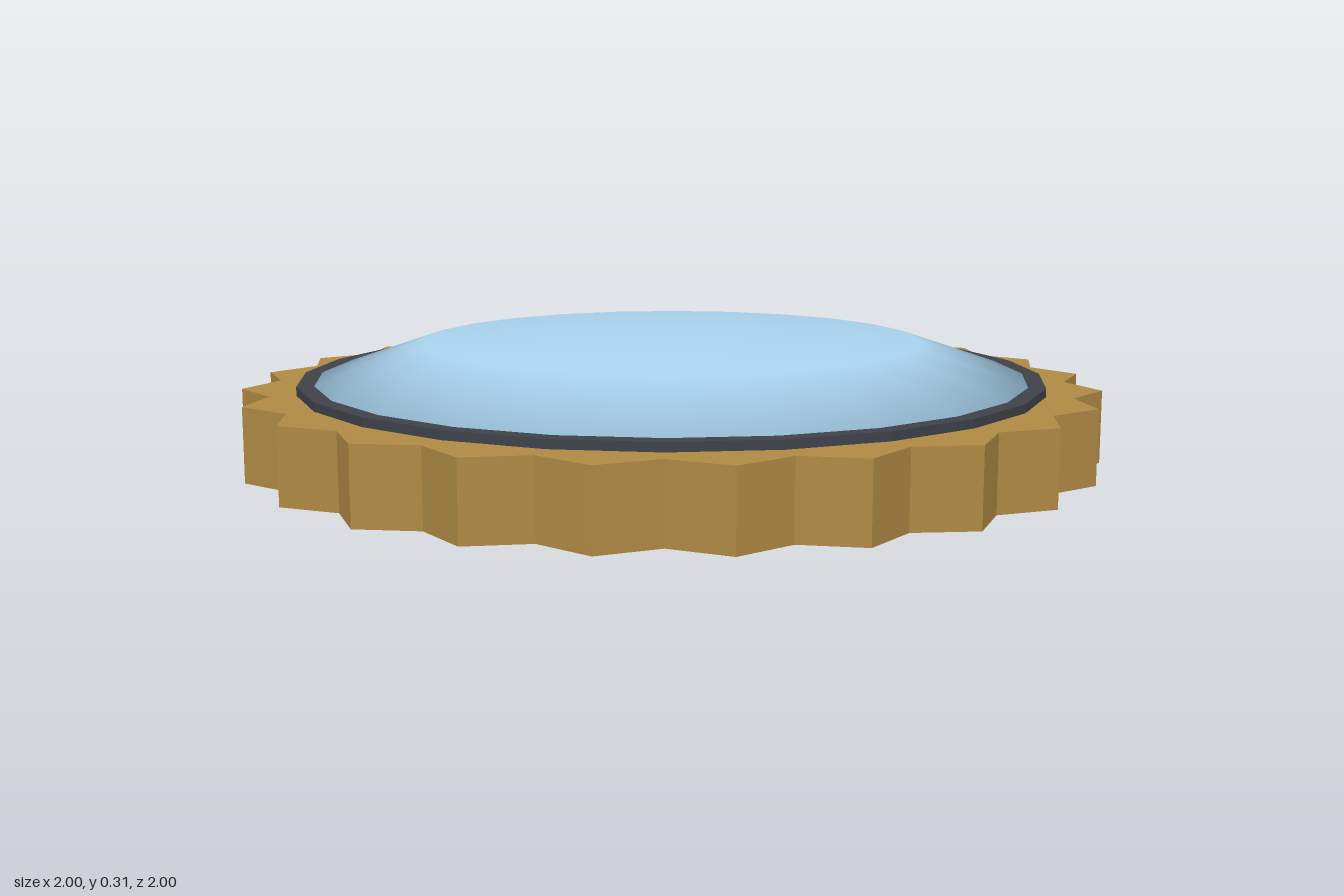
import * as THREE from 'three';

const SIDES = 24;

function addPart(group, name, geometry, color, y, flatShading = false) {
  const mesh = new THREE.Mesh(geometry, new THREE.MeshStandardMaterial({ color, flatShading }));
  mesh.name = name;
  mesh.position.y = y;
  group.add(mesh);
  return mesh;
}

export function createModel() {
  const group = new THREE.Group();
  group.name = 'serratedDisc';

  // Toothed base: valleys and tips alternate every half step
  const outline = [];
  for (let i = 0; i < SIDES * 2; i++) {
    const a = (i * Math.PI) / SIDES;
    const r = i % 2 ? 1.0086 : 0.941;
    outline.push(new THREE.Vector2(Math.cos(a) * r, Math.sin(a) * r));
  }
  const base = new THREE.ExtrudeGeometry(new THREE.Shape(outline), { depth: 0.17, bevelEnabled: false });
  base.rotateX(-Math.PI / 2);
  addPart(group, 'toothedBase', base, 0xb08a45, 0);

  // Dark plate showing as a thin rim, with its underside hidden in the base
  const plate = new THREE.CylinderGeometry(0.88, 0.88, 0.18, SIDES);
  addPart(group, 'rimPlate', plate, 0x3f424a, 0.1, true);

  // Shallow smooth dome: a flattened coarse hemisphere
  const dome = new THREE.SphereGeometry(0.84, SIDES, 2, 0, Math.PI * 2, 0, Math.PI / 2);
  dome.scale(1, 0.118 / 0.84, 1);
  addPart(group, 'glassDome', dome, 0xa9d3ee, 0.19);

  return group;
}
